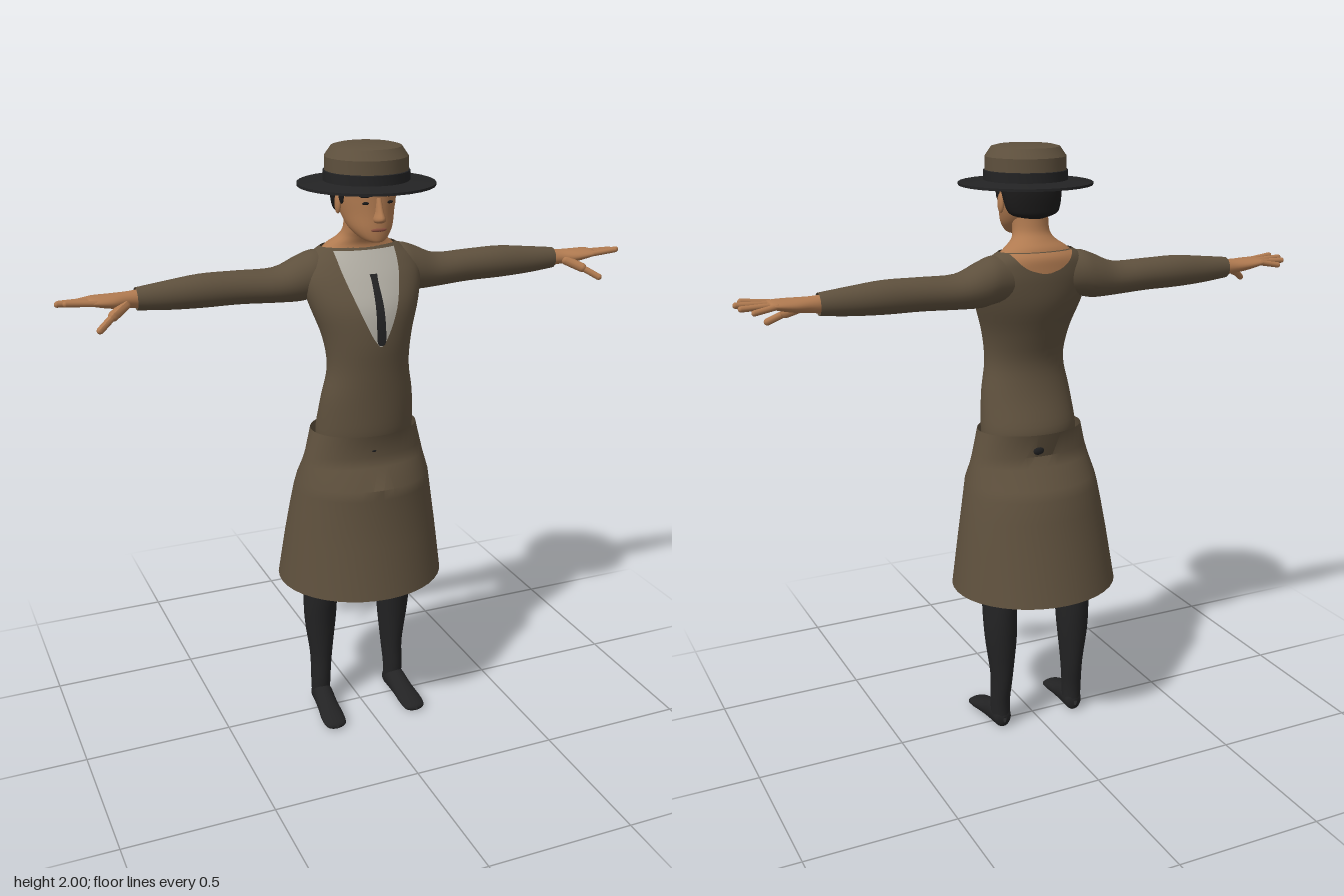
import * as THREE from 'three';
import { toCreasedNormals } from 'three/addons/utils/BufferGeometryUtils.js';

const mat = (name, color) => new THREE.MeshStandardMaterial({ name, color, side: THREE.DoubleSide });

// Catmull-Rom subdivision of section rows
function smooth(rows, steps) {
  const out = [], last = rows.length - 1;
  for (let i = 0; i < last; i++) {
    const r = [-1, 0, 1, 2].map(k => rows[Math.min(last, Math.max(0, i + k))]);
    for (let s = 0; s < steps; s++) {
      const t = s / steps;
      out.push(r[1].map((p, k) => p + 0.5 * t * (r[2][k] - r[0][k]
        + t * (2 * r[0][k] - 5 * p + 4 * r[2][k] - r[3][k]
        + t * (3 * (p - r[2][k]) + r[3][k] - r[0][k])))));
    }
  }
  out.push(rows[last]);
  return out;
}

function build(pos, idx) {
  const g = new THREE.BufferGeometry();
  g.setAttribute('position', new THREE.Float32BufferAttribute(pos, 3));
  g.setIndex(idx);
  g.computeVertexNormals();
  return g;
}

// Skin of ellipses along an axis; each row is [t, centreA, radiusA, centreB, radiusB]
function loft(rows, axis = 'y', steps = 4, n = 28) {
  const pos = [], idx = [], secs = smooth(rows, steps);
  const place = { x: (t, a, b) => [t, a, b], y: (t, a, b) => [a, t, b], z: (t, a, b) => [a, b, t] }[axis];
  secs.forEach(([t, ca, ra, cb, rb], i) => {
    for (let j = 0; j < n; j++) {
      const w = j / n * Math.PI * 2;
      pos.push(...place(t, ca + ra * Math.cos(w), cb + rb * Math.sin(w)));
      if (i === secs.length - 1) continue;
      const p = i * n + j, q = i * n + (j + 1) % n;
      if (axis === 'y') idx.push(p, p + n, q, q, p + n, q + n);
      else idx.push(p, q, p + n, q, q + n, p + n);
    }
  });
  return build(pos, idx);
}

function mirror(geo) {
  const g = geo.clone().scale(-1, 1, 1), a = g.index.array;
  for (let i = 0; i < a.length; i += 3) [a[i], a[i + 1]] = [a[i + 1], a[i]];
  g.computeVertexNormals();
  return g;
}

// Rounded rod between two points
function rod(a, b, r) {
  const A = new THREE.Vector3(...a), B = new THREE.Vector3(...b), d = B.clone().sub(A);
  const g = new THREE.CapsuleGeometry(r, d.length(), 4, 10);
  g.applyQuaternion(new THREE.Quaternion().setFromUnitVectors(new THREE.Vector3(0, 1, 0), d.normalize()));
  const c = A.add(B).multiplyScalar(0.5);
  return g.translate(c.x, c.y, c.z);
}

const blob = (x, y, z, rx, ry, rz) => new THREE.SphereGeometry(1, 14, 10).scale(rx, ry, rz).translate(x, y, z);

const TORSO = [
  [1.06, 0, 0.166, 0.03, 0.122], [1.1, 0, 0.165, 0.035, 0.123], [1.2, 0, 0.155, 0.055, 0.106],
  [1.3, 0, 0.138, 0.065, 0.1], [1.4, 0, 0.15, 0.055, 0.115], [1.5, 0, 0.183, 0.031, 0.126],
  [1.58, 0, 0.203, 0.005, 0.11], [1.63, 0, 0.188, -0.012, 0.092], [1.66, 0, 0.155, -0.022, 0.078],
  [1.678, 0, 0.128, -0.023, 0.064]];

// Thin patch lying on the torso; rows are [y, halfWidth], dir is +1 front or -1 back
function patch(rows, dir, offset) {
  const secs = smooth(TORSO, 8), pos = [], idx = [], n = 12, lines = smooth(rows, 5);
  lines.forEach(([y, hw], i) => {
    const k = Math.max(1, secs.findIndex(s => s[0] >= y));
    const f = (y - secs[k - 1][0]) / (secs[k][0] - secs[k - 1][0]);
    const [, , rx, cz, rz] = secs[k].map((v, m) => secs[k - 1][m] + (v - secs[k - 1][m]) * f);
    for (let j = 0; j <= n; j++) {
      const x = hw * (2 * j / n - 1);
      pos.push(x, y, cz + dir * (rz * Math.sqrt(Math.max(0, 1 - (x / rx) ** 2)) + offset));
      if (i === lines.length - 1 || j === n) continue;
      const p = i * (n + 1) + j, q = p + n + 1;
      if (dir > 0) idx.push(p, p + 1, q, p + 1, q + 1, q);
      else idx.push(p, q, p + 1, p + 1, q, q + 1);
    }
  });
  return build(pos, idx);
}

export function createModel() {
  const model = new THREE.Group();
  const coat = mat('coat brown', 0x5e503d), dark = mat('dark cloth', 0x232324), skin = mat('skin', 0xb07a50);
  const hair = mat('hair', 0x1b1a1a), shirt = mat('shirt grey', 0xb0aca2), lip = mat('lips', 0x8c5140);
  const add = (name, geo, m) => {
    const mesh = new THREE.Mesh(geo, m);
    mesh.name = name;
    model.add(mesh);
  };
  const pair = (name, geo, m) => {
    add(name + 'Left', geo, m);
    add(name + 'Right', mirror(geo), m);
  };

  // Coat body, shirt front and tie
  add('coatBody', loft(TORSO, 'y', 4, 40), coat);
  add('shirtFront', patch([[1.385, 0.004], [1.42, 0.028], [1.5, 0.063], [1.6, 0.094], [1.67, 0.104]], 1, 0.004), shirt);
  add('tie', patch([[1.39, 0.008], [1.41, 0.015], [1.5, 0.014], [1.58, 0.011], [1.605, 0.013]], 1, 0.009), dark);
  add('napeSkin', patch([[1.612, 0.012], [1.625, 0.055], [1.645, 0.085], [1.676, 0.11]], -1, 0.004), skin);

  // Skirt of the coat, pinched under the waist
  add('coatSkirt', toCreasedNormals(loft([
    [0.53, 0, 0.285, -0.008, 0.262], [0.7, 0, 0.263, 0, 0.222], [0.8, 0, 0.247, 0.006, 0.205],
    [0.87, 0, 0.235, 0.012, 0.195], [0.905, 0, 0.228, 0.018, 0.188], [0.965, 0, 0.213, 0.022, 0.13],
    [1.0, 0, 0.204, 0.025, 0.115], [1.08, 0, 0.182, 0.025, 0.135]], 'y', 1, 40), 0.7), coat);
  add('backTear', blob(0.02, 1.025, -0.09, 0.022, 0.018, 0.01), dark);
  add('frontTear', blob(-0.01, 1.025, 0.141, 0.012, 0.007, 0.006), dark);

  // Legs and feet
  pair('leg', loft([
    [0.04, 0.14, 0.033, -0.033, 0.034], [0.1, 0.141, 0.034, -0.031, 0.038], [0.2, 0.137, 0.038, -0.037, 0.047],
    [0.35, 0.139, 0.055, -0.036, 0.061], [0.5, 0.136, 0.059, -0.024, 0.076], [0.75, 0.11, 0.075, 0, 0.082],
    [0.98, 0.085, 0.07, 0.02, 0.08]]), dark);
  pair('foot', loft([
    [-0.068, 0.14, 0.006, 0.035, 0.012], [-0.055, 0.14, 0.029, 0.038, 0.036], [-0.01, 0.142, 0.035, 0.045, 0.045],
    [0.05, 0.146, 0.037, 0.032, 0.031], [0.11, 0.15, 0.041, 0.02, 0.02], [0.15, 0.151, 0.034, 0.013, 0.013],
    [0.162, 0.151, 0.004, 0.011, 0.004]], 'z'), dark);

  // Sleeves and hands
  pair('sleeve', loft([
    [0.08, 1.59, 0.07, -0.025, 0.06], [0.15, 1.592, 0.076, -0.027, 0.072], [0.2, 1.58, 0.073, -0.029, 0.072],
    [0.28, 1.565, 0.056, -0.031, 0.063], [0.4, 1.568, 0.053, -0.034, 0.055], [0.52, 1.569, 0.053, -0.034, 0.051],
    [0.63, 1.566, 0.045, -0.032, 0.042], [0.725, 1.565, 0.035, -0.03, 0.032]], 'x'), coat);
  pair('palm', loft([
    [0.7, 1.565, 0.03, -0.03, 0.027], [0.75, 1.566, 0.025, -0.028, 0.031], [0.8, 1.568, 0.022, -0.022, 0.043],
    [0.85, 1.573, 0.016, -0.02, 0.046], [0.872, 1.575, 0.01, -0.02, 0.04], [0.876, 1.575, 0.001, -0.02, 0.01]], 'x'), skin);
  [[-0.055, 0.925, 1.562, -0.06], [-0.033, 0.958, 1.572, -0.035], [-0.008, 0.966, 1.578, -0.004], [0.015, 0.945, 1.583, 0.022]]
    .forEach(([z, x, y, tipZ], i) => pair('finger' + (i + 1), rod([0.855, 1.574, z], [x, y, tipZ], 0.0095), skin));
  pair('thumbBase', rod([0.765, 1.557, 0], [0.81, 1.535, 0.032], 0.016), skin);
  pair('thumb', rod([0.81, 1.535, 0.032], [0.858, 1.505, 0.066], 0.011), skin);

  // Neck and head
  add('neck', loft([
    [1.655, 0, 0.142, -0.022, 0.07], [1.685, 0, 0.108, -0.02, 0.062], [1.71, 0, 0.073, -0.005, 0.057],
    [1.74, 0, 0.06, 0.012, 0.056], [1.8, 0, 0.06, 0.02, 0.058]]), skin);
  add('head', loft([
    [1.711, 0, 0.004, 0.12, 0.008], [1.713, 0, 0.024, 0.118, 0.03], [1.725, 0, 0.046, 0.103, 0.05],
    [1.755, 0, 0.07, 0.075, 0.079], [1.8, 0, 0.084, 0.05, 0.101], [1.85, 0, 0.092, 0.045, 0.105],
    [1.89, 0, 0.092, 0.045, 0.104], [1.93, 0, 0.075, 0.045, 0.085], [1.945, 0, 0.003, 0.045, 0.003]]), skin);
  add('nose', loft([
    [1.773, 0, 0.004, 0.15, 0.004], [1.777, 0, 0.016, 0.15, 0.022], [1.788, 0, 0.019, 0.15, 0.034],
    [1.81, 0, 0.012, 0.15, 0.023], [1.85, 0, 0.008, 0.146, 0.008]], 'y', 3, 14), skin);
  add('lips', blob(0, 1.752, 0.149, 0.026, 0.007, 0.007), lip);
  pair('ear', blob(0.092, 1.822, 0.04, 0.009, 0.032, 0.018), skin);
  pair('eye', blob(0.037, 1.834, 0.139, 0.015, 0.005, 0.005), hair);
  pair('brow', blob(0.038, 1.855, 0.14, 0.021, 0.004, 0.005), hair);
  add('hair', loft([
    [1.775, 0, 0.03, -0.01, 0.03], [1.788, 0, 0.076, -0.012, 0.046], [1.81, 0, 0.092, -0.006, 0.057],
    [1.85, 0, 0.1, 0.002, 0.069], [1.89, 0, 0.102, 0.015, 0.08], [1.925, 0, 0.09, 0.02, 0.08]]), hair);
  pair('sideburn', blob(0.087, 1.858, 0.062, 0.01, 0.035, 0.017), hair);

  // Hat with flat crown, dark band and dark brim
  const turn = pts => toCreasedNormals(
    new THREE.LatheGeometry(pts.map(p => new THREE.Vector2(...p)), 28).translate(0, 0, 0.049), 0.6);
  add('hatCrown', turn([[0.131, 1.885], [0.131, 1.965], [0.11, 1.995], [0.09, 2], [0, 2]]), coat);
  add('hatBand', turn([[0.136, 1.885], [0.136, 1.922], [0.131, 1.923]]), dark);
  add('hatBrim', turn([[0.13, 1.88], [0.217, 1.876], [0.217, 1.884], [0.13, 1.892], [0.13, 1.88]]), dark);

  return model;
}
